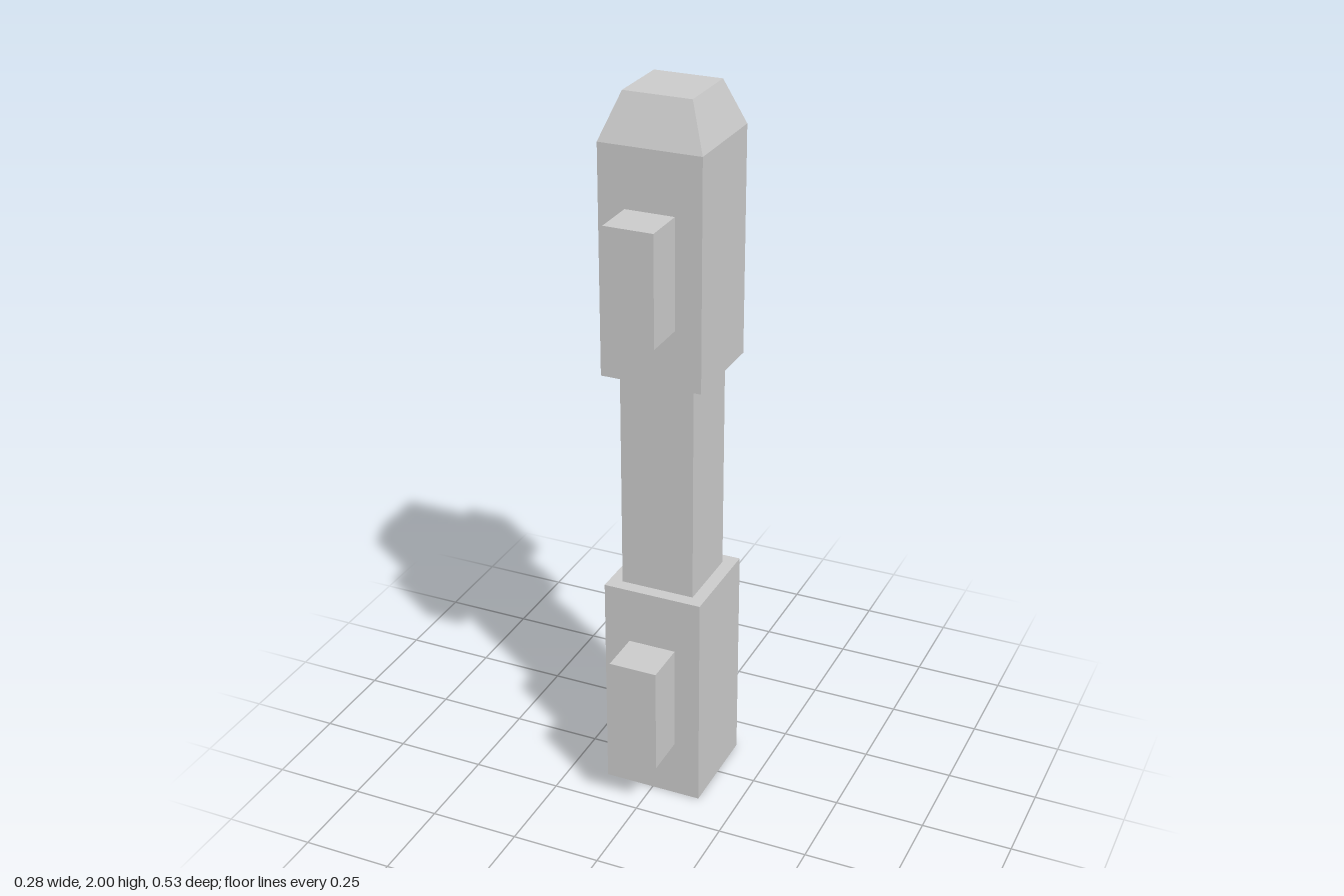
import * as THREE from 'three';

export function createModel() {
  const group = new THREE.Group();
  group.name = 'fencePost';
  const material = new THREE.MeshStandardMaterial({ color: 0xcccccc, flatShading: true });

  const add = (name, geometry, y, z = 0) => {
    const mesh = new THREE.Mesh(geometry, material);
    mesh.name = name;
    mesh.position.set(0, y, z);
    group.add(mesh);
  };
  // Box spanning y0..y1, centred on x
  const box = (name, width, depth, y0, y1, z = 0) =>
    add(name, new THREE.BoxGeometry(width, y1 - y0, depth), (y0 + y1) / 2, z);

  const half = 0.14;      // half width of the thick blocks
  const capHalf = 0.093;  // half width of the flat top
  const reach = 0.265;    // how far the rail stubs extend

  // Post: thick foot and head joined by a thinner shaft
  box('lowerBlock', half * 2, half * 2, 0, 0.628);
  box('shaft', 0.207, 0.207, 0.628, 1.253);
  box('upperBlock', half * 2, half * 2, 1.253, 1.878);

  // Tapered cap: a four-sided frustum, open below where it meets the block
  const cap = new THREE.CylinderGeometry(capHalf * Math.SQRT2, half * Math.SQRT2, 0.122, 4);
  cap.rotateY(Math.PI / 4);
  add('cap', cap, 1.939);

  // Rail stubs on the front and back of both blocks
  for (const [level, y0, y1] of [['lower', 0.165, 0.468], ['upper', 1.414, 1.716]]) {
    for (const [face, side] of [['Front', 1], ['Back', -1]]) {
      box(level + face + 'Stub', 0.135, reach - half, y0, y1, side * (reach + half) / 2);
    }
  }
  return group;
}
